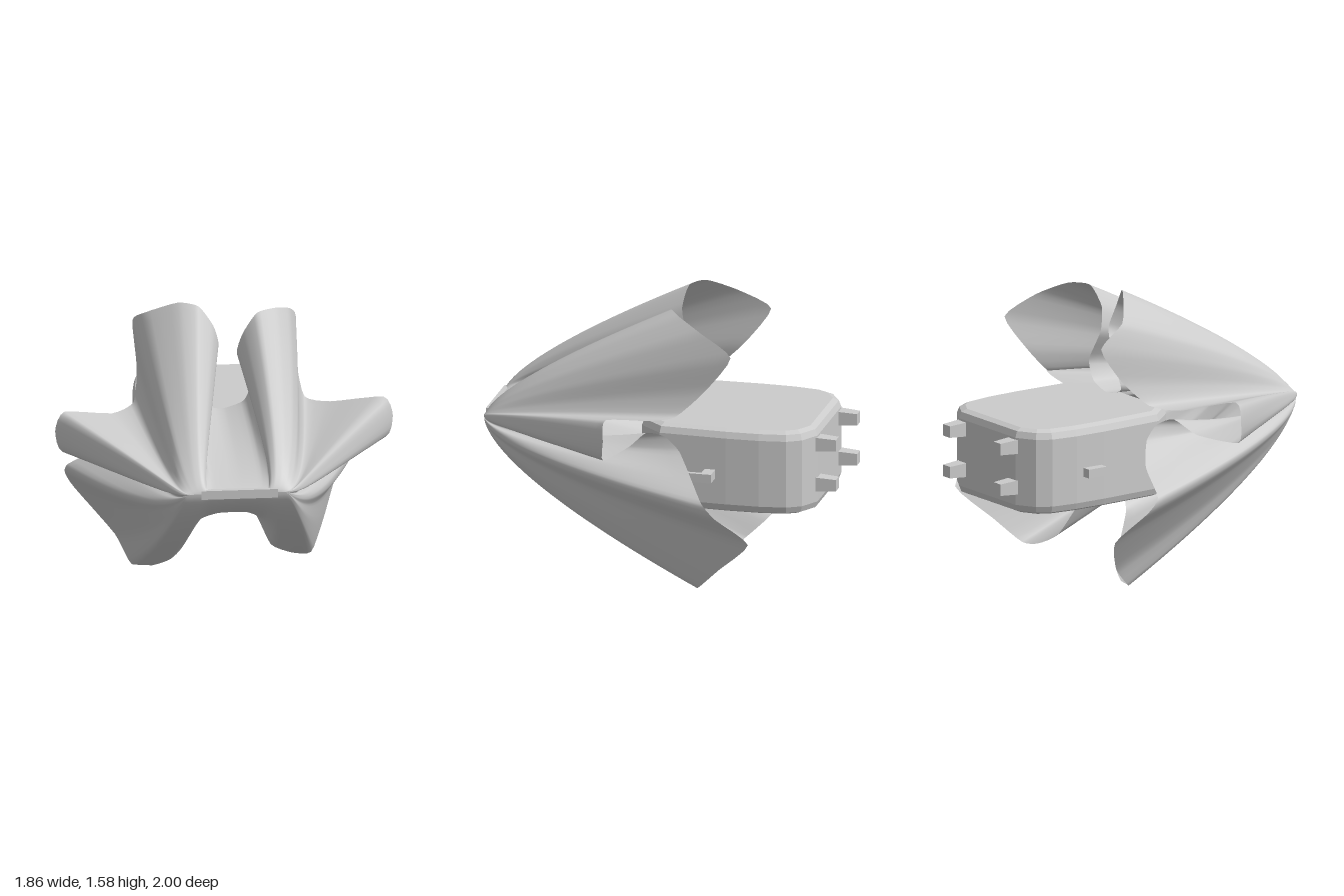
import * as THREE from 'three';

const material = new THREE.MeshStandardMaterial({ color: 0xcccccc });
const clothMaterial = new THREE.MeshStandardMaterial({ color: 0xcccccc, side: THREE.DoubleSide });

// Open rear edge of the cover on the +x half, from top centre to bottom centre.
// Each point: edge x, y, z, then x, y of its foot on the hull of the case.
// rise: how late the cloth leaves the hull on its way back.
const folds = [
  { // upper lobe
    rise: 0.8,
    points: [
      [0.03, 0.97, -0.08, 0.04, 0.97], [0.13, 1.01, -0.08, 0.19, 0.97], [0.17, 1.12, -0.08, 0.25, 0.97],
      [0.09, 1.29, -0.06, 0.27, 0.97], [0.12, 1.42, -0.03, 0.28, 0.97], [0.2, 1.53, -0.05, 0.3, 0.97],
      [0.31, 1.53, -0.12, 0.34, 0.97], [0.4, 1.47, -0.27, 0.38, 0.97], [0.45, 1.36, -0.45, 0.41, 0.97],
      [0.44, 1.15, -0.3, 0.43, 0.97], [0.47, 1.0, -0.14, 0.44, 0.97],
    ],
  },
  { // side lobe
    rise: 1.2,
    points: [
      [0.6, 1.01, -0.02, 0.45, 0.97], [0.88, 1.09, 0.15, 0.45, 0.97],
      [0.93, 0.98, 0.15, 0.46, 0.92], [0.89, 0.86, 0.16, 0.46, 0.82],
    ],
  },
  { // hollow under the side lobe
    rise: 2.2,
    points: [
      [0.62, 0.86, 0.08, 0.46, 0.8], [0.48, 0.9, 0.02, 0.45, 0.78],
      [0.46, 0.88, -0.08, 0.45, 0.76], [0.49, 0.81, -0.17, 0.45, 0.74],
    ],
  },
  { // lower lobe
    rise: 0.85,
    points: [
      [0.62, 0.7, -0.27, 0.45, 0.68], [0.74, 0.6, -0.36, 0.45, 0.6], [0.75, 0.52, -0.44, 0.45, 0.53],
      [0.69, 0.37, -0.61, 0.45, 0.47], [0.6, 0.18, -0.42, 0.45, 0.45], [0.52, 0.04, -0.28, 0.43, 0.45],
      [0.41, 0.05, -0.25, 0.38, 0.45], [0.29, 0.12, -0.2, 0.29, 0.45], [0.2, 0.33, -0.1, 0.21, 0.45],
      [0.1, 0.43, -0.05, 0.1, 0.45],
    ],
  },
];

// The other half is a mirror image whose lobes hang a little differently.
function mirrorPoint([x, y, z, footX, footY, rise]) {
  if (y > 1.05 && x < 0.35) { x -= 0.08; y += 0.04; z -= 0.02; }
  if (x > 0.55 && y > 0.8) y -= 0.03;
  if (x > 0.6 && y > 0.3 && y < 0.65) { x *= 1.1; y -= 0.02; z += 0.03; }
  if (y < 0.2) { x -= 0.05; y = Math.max(0, y - 0.05); }
  return [-x, y, z, -footX, footY, rise];
}

// Cover draped from a flat nose line: it swells quickly to the hull of the case,
// while the lobes rise off that hull more evenly towards the rear edge.
function createCover() {
  const half = folds.flatMap(({ rise, points }) => points.map((p) => [...p, rise]));
  const all = [...half, [0, 0.44, -0.05, 0, 0.45, 0.85], ...half.map(mirrorPoint).reverse()];
  const closedCurve = (start) => new THREE.CatmullRomCurve3(
    all.map((p) => new THREE.Vector3(...p.slice(start, start + 3))), true, 'catmullrom', 0.3);
  const rim = closedCurve(0), foot = closedCurve(3);
  const cols = 236, rows = 32, noseY = 0.86, noseZ = 0.99;
  const pos = [], index = [];
  for (let i = 0; i <= rows; i++) {
    const t = Math.pow(i / rows, 1.9);
    for (let j = 0; j < cols; j++) {
      const r = rim.getPoint(j / cols), f = foot.getPoint(j / cols);
      const rise = Math.pow(t, f.z);
      const x = f.x * (0.58 + 0.42 * Math.pow(t, 0.35)) + (r.x - f.x) * rise;
      const y = noseY + (f.y - noseY) * Math.pow(t, 0.52) + (r.y - f.y) * rise;
      pos.push(x, Math.max(0, y), noseZ + (r.z - noseZ) * t);
      if (i < rows) {
        const a = i * cols + j, b = i * cols + (j + 1) % cols;
        index.push(a, b, a + cols, b, b + cols, a + cols);
      }
    }
  }
  const geo = new THREE.BufferGeometry();
  geo.setAttribute('position', new THREE.Float32BufferAttribute(pos, 3));
  geo.setIndex(index);
  geo.computeVertexNormals();
  return new THREE.Mesh(geo, clothMaterial);
}

// Plan outline with chamfered rear corners, extruded upwards with bevelled edges.
function createBody() {
  const half = [[0.3, 0.04], [0.385, -0.06], [0.395, -0.42], [0.39, -0.6], [0.37, -0.74], [0.335, -0.8], [0.25, -0.85]];
  const outline = [...half, ...half.map(([x, z]) => [-x, z]).reverse()];
  const shape = new THREE.Shape(outline.map(([x, z]) => new THREE.Vector2(x, -z)));
  const geo = new THREE.ExtrudeGeometry(shape, {
    depth: 0.38, bevelThickness: 0.05, bevelSize: 0.045, bevelSegments: 2,
  });
  geo.rotateX(-Math.PI / 2);
  geo.translate(0, 0.51, 0);
  return new THREE.Mesh(geo, material);
}

function box(name, w, h, d, x, y, z) {
  const mesh = new THREE.Mesh(new THREE.BoxGeometry(w, h, d), material);
  mesh.name = name;
  mesh.position.set(x, y, z);
  return mesh;
}

export function createModel() {
  const group = new THREE.Group();
  group.name = 'coveredCase';

  const cover = createCover();
  cover.name = 'drapedCover';
  const body = createBody();
  body.name = 'caseBody';
  group.add(cover, body);

  // Flat plate on the nose
  group.add(box('nosePlate', 0.42, 0.05, 0.03, 0.01, 0.855, 0.98));

  // Four tapered studs on the rear face
  for (const x of [-0.235, 0.235]) {
    for (const y of [0.84, 0.61]) {
      const geo = new THREE.CylinderGeometry(0.046, 0.058, 0.13, 4).rotateY(Math.PI / 4).rotateX(-Math.PI / 2);
      const stud = new THREE.Mesh(geo.toNonIndexed(), material);
      stud.geometry.computeVertexNormals();
      stud.name = 'rearStud';
      stud.position.set(x, y, -0.935);
      group.add(stud);
    }
  }

  // Small side clips
  group.add(box('leftClip', 0.1, 0.05, 0.06, 0.48, 0.68, -0.33));
  group.add(box('leftClipBar', 0.025, 0.05, 0.18, 0.52, 0.68, -0.27));
  group.add(box('rightClip', 0.06, 0.05, 0.12, -0.46, 0.68, -0.5));
  return group;
}
